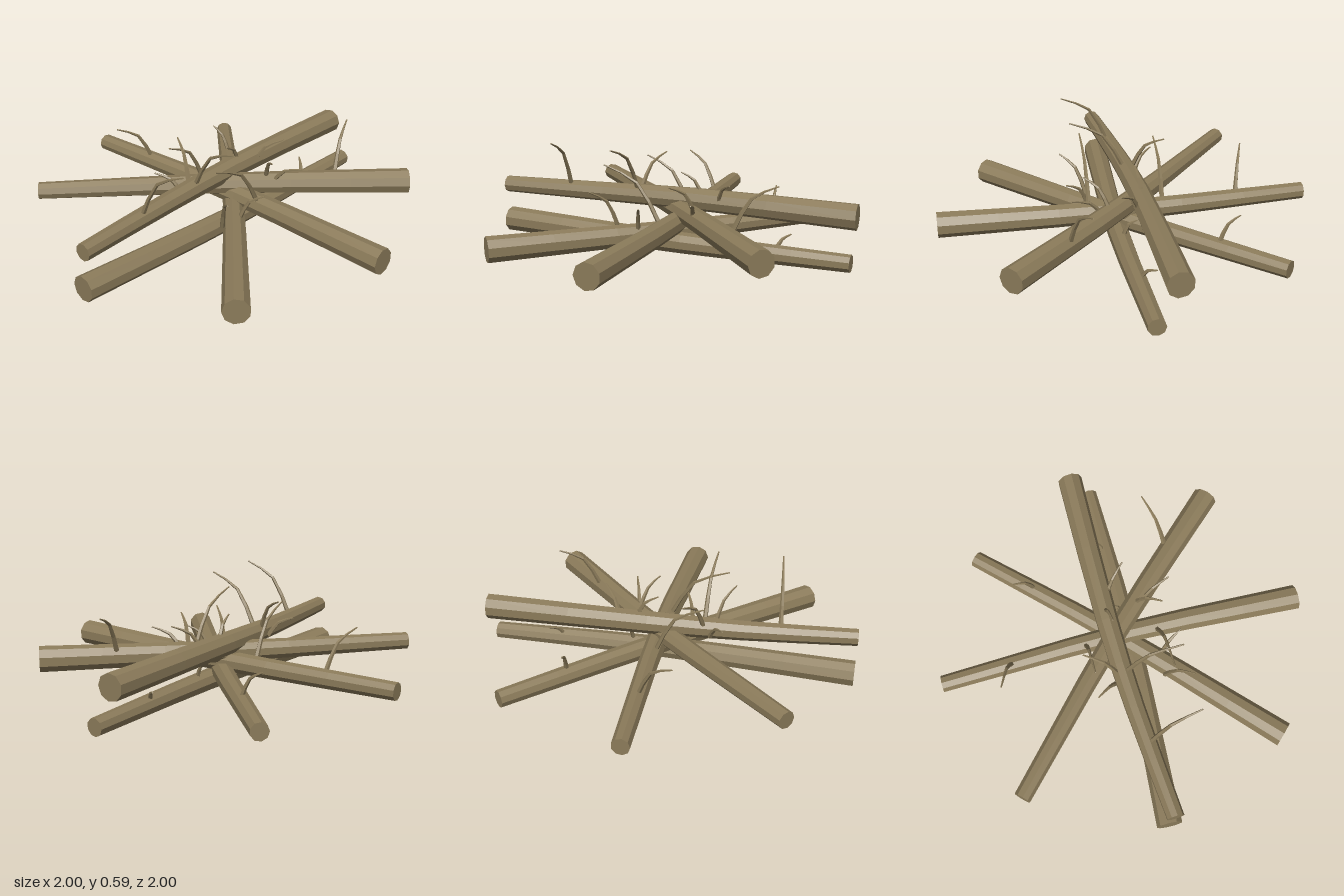
import * as THREE from 'three';

// Tapered faceted branch: parallel rings along a smooth path, square to its chord
function branch(points, r0, r1, sides, steps) {
  const path = new THREE.CatmullRomCurve3(points);
  const chord = points.at(-1).clone().sub(points[0]).normalize();
  const side = new THREE.Vector3(0, 1, 0).cross(chord).normalize();
  const up = new THREE.Vector3().crossVectors(chord, side);
  const pos = [], index = [];
  for (let i = 0; i <= steps; i++) {
    const t = i / steps, c = path.getPoint(t), r = r0 + (r1 - r0) * t;
    for (let j = 0; j < sides; j++) {
      const a = (j / sides) * Math.PI * 2;
      const p = c.clone().addScaledVector(side, Math.cos(a) * r).addScaledVector(up, Math.sin(a) * r);
      pos.push(p.x, p.y, p.z);
    }
  }
  for (let i = 0; i < steps; i++) {
    for (let j = 0; j < sides; j++) {
      const a = i * sides + j, b = i * sides + (j + 1) % sides;
      index.push(a, b, b + sides, a, b + sides, a + sides);
    }
  }
  // End caps
  const last = steps * sides;
  for (let j = 1; j < sides - 1; j++) {
    index.push(0, j + 1, j, last, last + j, last + j + 1);
  }
  const g = new THREE.BufferGeometry();
  g.setAttribute('position', new THREE.Float32BufferAttribute(pos, 3));
  g.setIndex(index);
  const flat = g.toNonIndexed();
  flat.computeVertexNormals();
  return flat;
}

export function createModel() {
  const group = new THREE.Group();
  const wood = new THREE.MeshStandardMaterial({ color: 0x8b7b5a });
  wood.name = 'weathered wood';
  const vec = (x, y, z) => new THREE.Vector3(x, y, z);
  const add = (name, geometry) => {
    const mesh = new THREE.Mesh(geometry, wood);
    mesh.name = name;
    group.add(mesh);
  };

  // Five slightly bowed logs crossing at the middle, thick end first
  const addLog = (name, ...points) => add(name, branch(points, 0.069, 0.046, 9, 6));
  addLog('topLog', vec(1, 0.29, -0.06), vec(0.1, 0.295, -0.06), vec(-0.4, 0.29, -0.035), vec(-1, 0.29, 0.02));
  addLog('bottomLog', vec(-1, 0.077, 0), vec(0.1, 0.077, 0.055), vec(1, 0.077, 0.045));
  addLog('lengthwiseLog', vec(0.03, 0.183, 1), vec(0.057, 0.183, 0.05), vec(0.013, 0.185, -1));
  addLog('lowerDiagonalLog', vec(-0.695, 0.13, 0.71), vec(0.04, 0.13, 0.02), vec(0.722, 0.13, -0.683));
  addLog('upperDiagonalLog', vec(0.735, 0.235, 0.673), vec(0.055, 0.235, -0.02), vec(-0.705, 0.235, -0.71));

  // Twigs sprouting from the logs: each rises steeply to an elbow, then leans out to its tip
  const addTwig = (name, base, tip) => {
    const elbow = base.clone().lerp(tip, 0.4);
    elbow.y = base.y + (tip.y - base.y) * 0.72;
    add(name, branch([base, elbow, tip], 0.014, 0.004, 5, 4));
  };
  addTwig('topLogTwig1', vec(-0.6, 0.3, -0.01), vec(-0.57, 0.6, 0.26));
  addTwig('topLogTwig2', vec(-0.2, 0.32, -0.08), vec(-0.12, 0.5, -0.24));
  addTwig('topLogTwig3', vec(-0.2, 0.32, -0.03), vec(-0.22, 0.59, 0.26));
  addTwig('topLogTwig4', vec(0.17, 0.3, -0.06), vec(0.05, 0.44, -0.04));
  addTwig('bottomLogTwig1', vec(0.21, 0.11, 0.05), vec(0.23, 0.21, -0.02));
  addTwig('bottomLogTwig2', vec(0.61, 0.1, 0.04), vec(0.67, 0.17, -0.03));
  addTwig('lengthwiseTwig1', vec(0.03, 0.2, -0.61), vec(-0.16, 0.42, -0.685));
  addTwig('lengthwiseTwig2', vec(0.03, 0.21, -0.2), vec(-0.22, 0.48, -0.2));
  addTwig('lengthwiseTwig3', vec(0.03, 0.21, 0.2), vec(-0.29, 0.5, 0.2));
  addTwig('lowerDiagonalTwig1', vec(0.455, 0.16, -0.4), vec(0.44, 0.3, -0.51));
  addTwig('lowerDiagonalTwig2', vec(-0.22, 0.16, 0.18), vec(-0.32, 0.37, 0.31));
  addTwig('lowerDiagonalTwig3', vec(-0.1, 0.16, 0.19), vec(-0.04, 0.31, 0.31));
  addTwig('upperDiagonalTwig1', vec(0.49, 0.28, 0.36), vec(0.69, 0.495, 0.28));
  addTwig('upperDiagonalTwig2', vec(-0.24, 0.27, -0.1), vec(-0.32, 0.37, -0.21));
  addTwig('upperDiagonalTwig3', vec(0.19, 0.27, 0.12), vec(0.1, 0.42, 0.24));
  addTwig('upperDiagonalTwig4', vec(0.2, 0.25, 0.16), vec(0.25, 0.36, 0.32));
  addTwig('upperDiagonalTwig5', vec(0.26, 0.27, -0.03), vec(0.37, 0.42, 0.09));

  return group;
}
